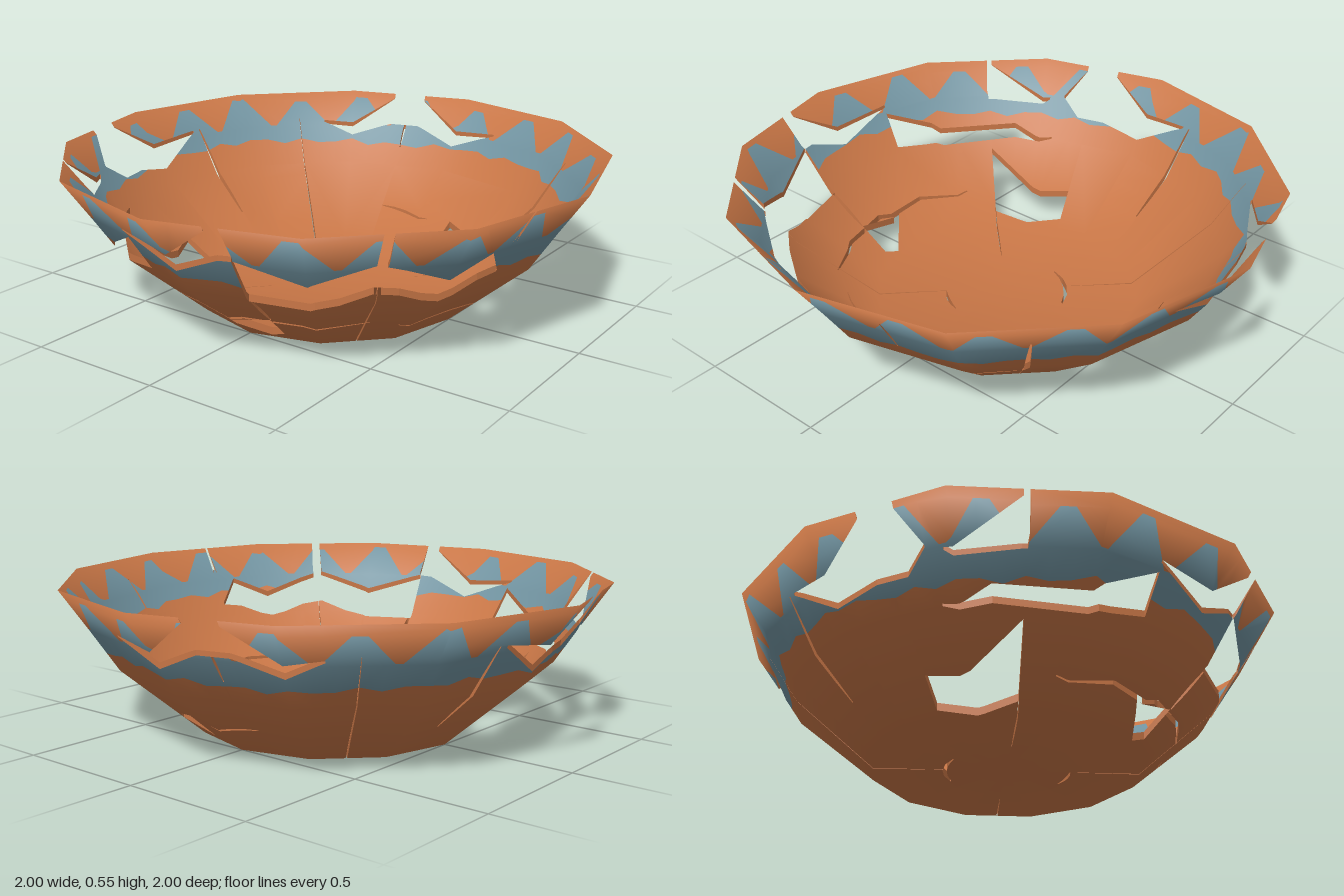
import * as THREE from 'three';

const SIDES = 12, RAD = Math.PI / 180;
// Profile rings: radius, outer height, inner height, outer normal [out, up], inner normal [out, up]
const RINGS = [
  [0, 0, 0.03, [0, -1], [0, 1]],
  [0.5, 0, 0.028, [0.36, -0.93], [-0.25, 0.97]],
  [0.8, 0.255, 0.28, [0.74, -0.67], [-0.72, 0.69]],
  [0.9, 0.405, 0.424, [0.86, -0.5], [-0.8, 0.6]],
  [1, 0.55, 0.55, [0.93, 0.36], [-0.6, 0.8]],
];

// Plan-space helpers; every point starts with [x, z]
const side = (a, b, p) => (b[0] - a[0]) * (p[1] - a[1]) - (b[1] - a[1]) * (p[0] - a[0]);
const area = (poly) => poly.reduce((s, p, i) => {
  const q = poly[(i + 1) % poly.length];
  return s + (p[0] * q[1] - p[1] * q[0]) / 2;
}, 0);
const orient = (poly) => (area(poly) < 0 ? [...poly].reverse() : poly);
const contains = (poly, p) => poly.every((a, i) => side(a, poly[(i + 1) % poly.length], p) >= 0);
const polar = (deg, r) => [r * Math.cos(deg * RAD), r * Math.sin(deg * RAD)];
const onRing = (deg, r) => {
  const step = 360 / SIDES, d = ((deg % step) + step) % step - step / 2;
  return polar(deg, r * Math.cos(step / 2 * RAD) / Math.cos(d * RAD));
};

// Split one convex polygon along the line a-b
function cut(poly, a, b) {
  const inside = [], outside = [];
  poly.forEach((p, i) => {
    const q = poly[(i + 1) % poly.length], dp = side(a, b, p), dq = side(a, b, q);
    (dp >= 0 ? inside : outside).push(p);
    if ((dp >= 0) !== (dq >= 0)) {
      const t = dp / (dp - dq), m = p.map((v, k) => v + (q[k] - v) * t);
      inside.push(m);
      outside.push(m);
    }
  });
  return [inside, outside];
}

// Divide polygons into those outside and inside a convex region
function divide(polys, region) {
  const out = [], hit = [];
  for (const poly of polys) {
    let rest = poly;
    const parts = [];
    region.forEach((a, i) => {
      if (rest.length < 3) return;
      const [inn, off] = cut(rest, a, region[(i + 1) % region.length]);
      if (off.length > 2 && area(off) > 1e-8) parts.push(off);
      rest = inn;
    });
    if (rest.length > 2 && area(rest) > 1e-8) {
      hit.push(rest);
      out.push(...parts);
    } else out.push(poly);
  }
  return [out, hit];
}

// Quads joining successive pairs of points
const ribbon = (pairs) => pairs.slice(1).map((e, i) => orient([pairs[i][0], pairs[i][1], e[1], e[0]]));
// Ribbon between two radii given at successive angles
const strip = (stations, place = polar) => ribbon(stations.map(([a, lo, hi]) => [place(a, lo), place(a, hi)]));

// Gap under the rim that widens to a full break between angles b and c
const rimGap = ([a, b, c, d, dip]) => strip([[a, 0.885, 0.89], [b, dip, 0.955], [b + 0.2, dip, 1.1],
  [c - 0.2, dip, 1.1], [c, dip, 0.955], [d, 0.885, 0.89]]);

// Crack from one polar point to another, widest in the middle
function crack([a0, r0, a1, r1, width]) {
  const at = (t) => polar(a0 + (a1 - a0) * t, r0 + (r1 - r0) * t);
  const pairs = [];
  for (let t = 0; t <= 1; t += 0.25) {
    const [x, z] = at(t), p = at(t - 0.01), q = at(t + 0.01);
    const w = width * (0.15 + 0.35 * Math.sin(Math.PI * t)) / Math.hypot(q[0] - p[0], q[1] - p[1]);
    const nx = (p[1] - q[1]) * w, nz = (q[0] - p[0]) * w;
    pairs.push([[x + nx, z + nz], [x - nx, z - nz]]);
  }
  return ribbon(pairs);
}

// Breaks in the rim: four angles and the depth of the dip in the body below
const RIM_GAPS = [[-128, -109, -101, -77, 0.88], [156, 161, 169, 193, 0.835], [134.5, 134.8, 136, 152, 0.865],
  [75, 75.3, 78.5, 105, 0.875], [43.8, 44, 46, 46.2, 0.86], [14.4, 14.6, 15.2, 15.4, 0.9]];
// Shards lost from the upper wall: angle, inner and outer radius
const FRONT_LEFT_SHARD = [[14.4, 0.805, 0.81], [20, 0.8, 0.873], [40, 0.795, 0.865], [46, 0.8, 0.88],
  [59, 0.776, 0.861], [75.5, 0.754, 0.878]];
const FRONT_RIGHT_SHARD = [[104.7, 0.786, 0.868], [117.5, 0.787, 0.837], [142.5, 0.778, 0.812], [154, 0.785, 0.79]];
// Holes in the lower wall, in plan
const WALL_HOLES = [
  [[-0.59, 0.16], [-0.5, 0.13], [-0.42, 0.27], [-0.54, 0.27]],
  [[-0.54, 0.27], [-0.42, 0.27], [-0.37, 0.37], [-0.52, 0.52]],
  [[-0.03, 0.6], [0.09, 0.49], [0.15, 0.5], [0.17, 0.6]],
  [[0.16, -0.59], [0.26, -0.54], [0.29, -0.5], [0.14, -0.49]],
  [[0.5, -0.14], [0.6, -0.16], [0.6, -0.05], [0.55, -0.07]],
];
// Cracks: start angle and radius, end angle and radius, width
const CRACKS = [
  [-45, 0.89, -45, 0.645, 0.02], [-45, 0.645, -46, 0.29, 0.004], [-45, 0.645, -27, 0.617, 0.026],
  [-135, 0.89, -134, 0.23, 0.006], [135, 0.54, 135, 0.23, 0.005], [45, 0.8, 46, 0.23, 0.006],
  [46, 0.23, 15, 0.23, 0.012], [195, 0.89, 197, 0.62, 0.016], [124, 0.605, 44, 0.63, 0.014],
  [-6, 0.6, 34, 0.605, 0.012], [-106, 0.62, -86, 0.605, 0.01], [198, 0.22, 255, 0.23, 0.016],
  [-15, 0.81, -15, 0.91, 0.01], [-104.5, 0.91, -105, 0.82, 0.01], [74, 0.625, 75, 0.77, 0.018],
];
const HOLES = [...RIM_GAPS.flatMap(rimGap), ...strip(FRONT_LEFT_SHARD), ...strip(FRONT_RIGHT_SHARD),
  ...WALL_HOLES.map(orient), ...CRACKS.flatMap(crack)];

// Painted band with a wavy lower edge and a row of pointed teeth above it
function paintRegions(lower) {
  const band = [], teeth = [];
  for (let i = 0; i <= 72; i++) {
    const wave = Math.sin(i * 2.4) * 0.007 + Math.sin(i * Math.PI / 9) * 0.006;
    band.push([i * 5, lower + wave, 0.904]);
  }
  for (let i = 0; i < 22; i++) {
    const a = i * 360 / 22 - 3.4, top = 0.98 + Math.sin(i * 2.1) * 0.008;
    teeth.push(orient([onRing(a - 7.5, 0.903), onRing(a + 7.5, 0.903), onRing(a + 1.5, top), onRing(a - 1.5, top)]));
  }
  return [...strip(band, onRing), ...teeth];
}

// Facets of the bowl: x, z, outer y, inner y, outer normal, inner normal
function bowlFacets() {
  const vertex = ([r, yo, yi, no, ni], k) => {
    const c = Math.cos(k * 2 * Math.PI / SIDES), s = Math.sin(k * 2 * Math.PI / SIDES);
    return [r * c, r * s, yo, yi, no[0] * c, no[1], no[0] * s, ni[0] * c, ni[1], ni[0] * s];
  };
  const facets = [];
  for (let i = 1; i < RINGS.length; i++) {
    for (let k = 0; k < SIDES; k++) {
      const f = [vertex(RINGS[i - 1], k), vertex(RINGS[i], k), vertex(RINGS[i], k + 1)];
      if (i > 1) f.push(vertex(RINGS[i - 1], k + 1));
      facets.push(f);
    }
  }
  return facets;
}

function surface(polys, inner, material, name) {
  const pos = [], nor = [];
  for (const poly of polys) {
    for (let i = 1; i < poly.length - 1; i++) {
      const tri = inner ? [poly[0], poly[i + 1], poly[i]] : [poly[0], poly[i], poly[i + 1]];
      for (const v of tri) {
        pos.push(v[0], v[inner ? 3 : 2], v[1]);
        nor.push(...(inner ? v.slice(7, 10) : v.slice(4, 7)));
      }
    }
  }
  const g = new THREE.BufferGeometry();
  g.setAttribute('position', new THREE.Float32BufferAttribute(pos, 3));
  g.setAttribute('normal', new THREE.Float32BufferAttribute(nor, 3));
  g.normalizeNormals();
  const mesh = new THREE.Mesh(g, material);
  mesh.name = name;
  return mesh;
}

export function createModel() {
  const clay = new THREE.MeshStandardMaterial({ name: 'terracotta', color: 0xc87646, side: THREE.DoubleSide });
  const paint = new THREE.MeshStandardMaterial({ name: 'blueGlaze', color: 0x7193a0, side: THREE.DoubleSide });
  const bowl = new THREE.Group();
  bowl.name = 'brokenBowl';

  // Cut the holes and wall up the exposed edges
  let shell = bowlFacets();
  const wall = [];
  for (const hole of HOLES) {
    const [kept, removed] = divide(shell, hole);
    shell = kept;
    for (const poly of removed) poly.forEach((p, i) => {
      const q = poly[(i + 1) % poly.length], l = Math.hypot(q[0] - p[0], q[1] - p[1]);
      if (l < 1e-4) return;
      const onEdge = hole.some((a, k) => {
        const b = hole[(k + 1) % hole.length], e = Math.hypot(b[0] - a[0], b[1] - a[1]);
        return e > 1e-5 && [p, q].every((v) => Math.abs(side(a, b, v)) < 1e-6 * e);
      });
      const beyond = [(p[0] + q[0]) / 2 + (q[1] - p[1]) / l * 0.001, (p[1] + q[1]) / 2 - (q[0] - p[0]) / l * 0.001];
      if (!onEdge || HOLES.some((h) => contains(h, beyond))) return;
      const [a, b, c, d] = [[p[0], p[2], p[1]], [q[0], q[2], q[1]], [q[0], q[3], q[1]], [p[0], p[3], p[1]]];
      wall.push(...a, ...b, ...c, ...a, ...c, ...d);
    });
  }
  const edges = new THREE.Mesh(new THREE.BufferGeometry(), clay);
  edges.geometry.setAttribute('position', new THREE.Float32BufferAttribute(wall, 3));
  edges.geometry.computeVertexNormals();
  edges.name = 'brokenEdges';
  bowl.add(edges);

  // Outer and inner faces, each divided into bare clay and painted band
  for (const [inner, lower, label] of [[false, 0.842, 'outer'], [true, 0.86, 'inner']]) {
    let bare = shell;
    const painted = [];
    for (const region of paintRegions(lower)) {
      const [rest, hit] = divide(bare, region);
      bare = rest;
      painted.push(...hit);
    }
    bowl.add(surface(bare, inner, clay, label + 'Clay'), surface(painted, inner, paint, label + 'PaintedBand'));
  }
  return bowl;
}
